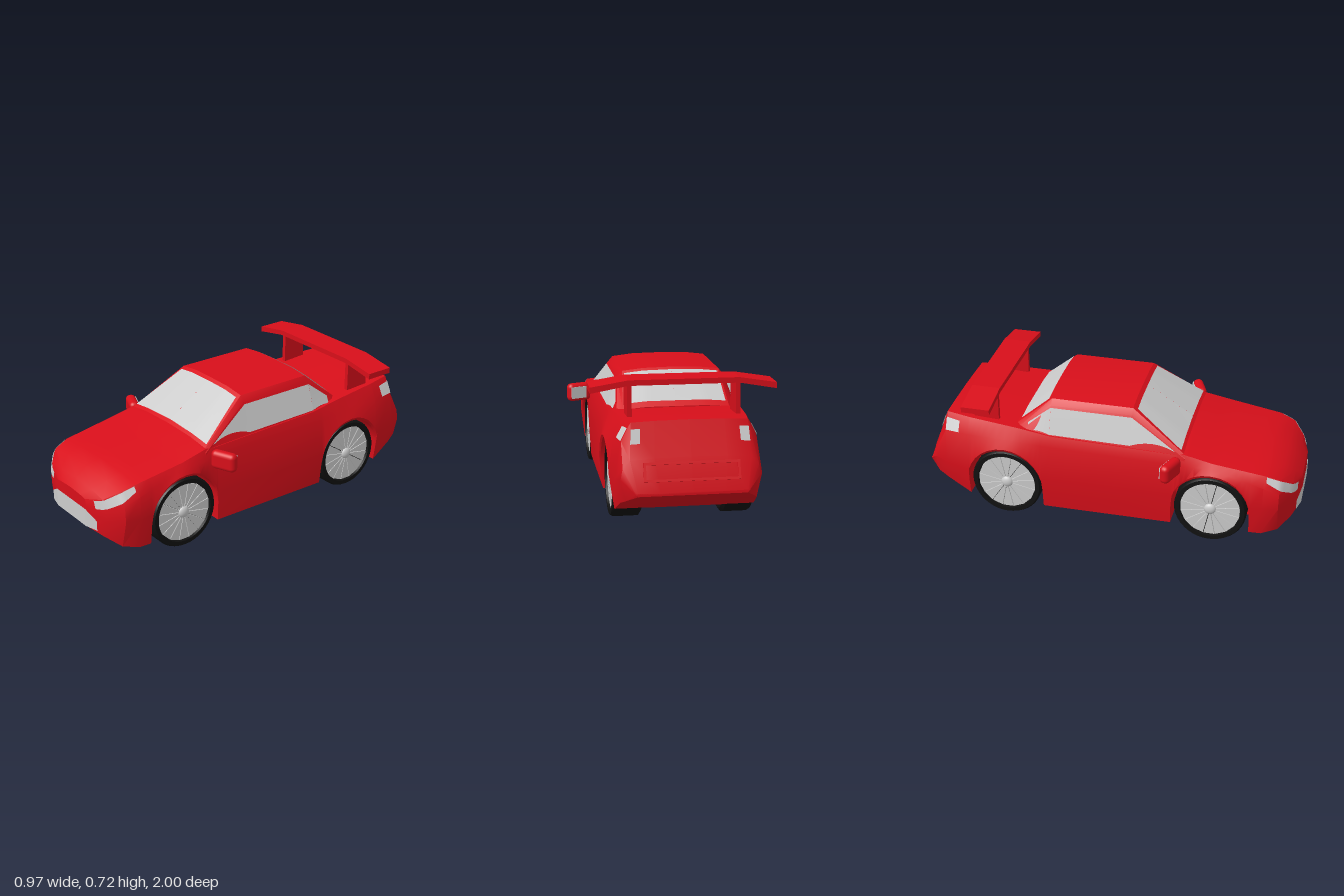
import * as THREE from 'three';
import { toCreasedNormals } from 'three/addons/utils/BufferGeometryUtils.js';
import { RoundedBoxGeometry } from 'three/addons/geometries/RoundedBoxGeometry.js';

const paint = new THREE.MeshStandardMaterial({ color: 0xd80f1a });
const rubber = new THREE.MeshStandardMaterial({ color: 0x111111 });
const grey = new THREE.MeshStandardMaterial({ color: 0xcccccc });
const greyThin = new THREE.MeshStandardMaterial({ color: 0xcccccc, side: THREE.DoubleSide });

const WHEEL_Z = 0.55, WHEEL_R = 0.19, ARCH_R = 0.205;
const lerp = THREE.MathUtils.lerp;

function add(parent, name, geometry, material, pos = [0, 0, 0]) {
  const mesh = new THREE.Mesh(geometry, material);
  mesh.name = name;
  mesh.position.set(...pos);
  parent.add(mesh);
  return mesh;
}

function geometryFrom(positions, index) {
  const g = new THREE.BufferGeometry();
  g.setAttribute('position', new THREE.Float32BufferAttribute(positions, 3));
  g.setIndex(index);
  return g;
}

// Closed skin over half-sections { z, pts: [[x, y], ...] }, mirrored in x, ordered front to back
function loft(sections, crease) {
  const pos = [], idx = [];
  const rings = sections.map(({ z, pts }) =>
    [...pts, ...pts.slice(1, -1).reverse().map(([x, y]) => [-x, y])].map(([x, y]) => [x, y, z]));
  const n = rings[0].length;
  rings.forEach(r => r.forEach(p => pos.push(...p)));
  for (let i = 0; i < rings.length - 1; i++) for (let j = 0; j < n; j++) {
    const a = i * n + j, b = i * n + (j + 1) % n;
    idx.push(a, b, a + n, b, b + n, a + n);
  }
  [0, rings.length - 1].forEach((i, back) => {
    const c = pos.length / 3, ring = rings[i];
    pos.push(0, ring.reduce((s, p) => s + p[1], 0) / n, ring[0][2]);
    for (let j = 0; j < n; j++) {
      const a = i * n + j, b = i * n + (j + 1) % n;
      back ? idx.push(c, a, b) : idx.push(c, b, a);
    }
  });
  return toCreasedNormals(geometryFrom(pos, idx), crease);
}

// Point on a loft at depth z and section parameter t
function sample(sections, z, t) {
  let i = 0;
  while (i < sections.length - 2 && sections[i + 1].z > z) i++;
  const A = sections[i], B = sections[i + 1], f = (z - A.z) / (B.z - A.z);
  const j = Math.min(Math.floor(t), A.pts.length - 2), g = t - j;
  const at = k => lerp(lerp(A.pts[j][k], A.pts[j + 1][k], g), lerp(B.pts[j][k], B.pts[j + 1][k], g), f);
  return [at(0), at(1), z];
}

// Panel lying just above a loft: front edge z0 (t a..b) to back edge z1 (t c..d)
function panel(sections, side, [z0, a, b, z1, c, d], lift = 0.004) {
  const N = 12, pos = [], idx = [];
  for (let i = 0; i <= N; i++) for (let j = 0; j <= N; j++) {
    const u = i / N, v = j / N;
    const p = sample(sections, lerp(z0, z1, u), lerp(lerp(a, b, v), lerp(c, d, v), u));
    pos.push(p[0] * side, p[1], p[2]);
    if (i < N && j < N) {
      const k = i * (N + 1) + j, l = k + N + 1;
      idx.push(...(side > 0 ? [k, k + 1, l, k + 1, l + 1, l] : [k, l, k + 1, k + 1, l, l + 1]));
    }
  }
  const g = geometryFrom(pos, idx);
  g.computeVertexNormals();
  const P = g.attributes.position, Q = g.attributes.normal;
  for (let i = 0; i < P.count; i++)
    P.setXYZ(i, P.getX(i) + Q.getX(i) * lift, P.getY(i) + Q.getY(i) * lift, P.getZ(i) + Q.getZ(i) * lift);
  return g;
}

// Body rows: z, top y, shoulder x y, belt x y, widest x y, sill x y
const ROWS = [
  [0.995, 0.33, 0.13, 0.32, 0.14, 0.28, 0.14, 0.24, 0.14, 0.17],
  [0.96, 0.375, 0.24, 0.35, 0.26, 0.30, 0.26, 0.24, 0.24, 0.145],
  [0.90, 0.42, 0.305, 0.40, 0.345, 0.335, 0.35, 0.25, 0.31, 0.10],
  [0.82, 0.445, 0.325, 0.425, 0.36, 0.37, 0.365, 0.25, 0.345, 0.085],
  [0.55, 0.49, 0.335, 0.465, 0.352, 0.44, 0.37, 0.25, 0.35, 0.08],
  [0.40, 0.52, 0.33, 0.495, 0.352, 0.44, 0.36, 0.25, 0.35, 0.08],
  [0.36, 0.49, 0.335, 0.49, 0.352, 0.44, 0.36, 0.25, 0.35, 0.08],
  [-0.30, 0.50, 0.335, 0.505, 0.355, 0.45, 0.375, 0.25, 0.355, 0.08],
  [-0.48, 0.53, 0.325, 0.525, 0.355, 0.46, 0.375, 0.25, 0.355, 0.08],
  [-0.75, 0.55, 0.30, 0.54, 0.345, 0.46, 0.37, 0.26, 0.345, 0.09],
  [-0.88, 0.555, 0.28, 0.548, 0.325, 0.46, 0.355, 0.28, 0.33, 0.16],
  [-0.94, 0.39, 0.29, 0.38, 0.325, 0.34, 0.335, 0.29, 0.31, 0.185],
  [-1.0, 0.235, 0.26, 0.233, 0.27, 0.23, 0.27, 0.227, 0.26, 0.22],
];

// Sections with the sill lifted over each wheel, leaving open wheel wells
function bodySections() {
  const zs = ROWS.map(r => r[0]);
  for (const c of [WHEEL_Z, -WHEEL_Z]) {
    zs.push(c + ARCH_R + 0.001, c - ARCH_R - 0.001);
    for (let k = 0; k <= 14; k++) zs.push(c + ARCH_R * Math.cos(Math.PI * k / 14));
  }
  const unique = zs.sort((a, b) => b - a).filter((z, i) => i === 0 || zs[i - 1] - z > 1e-5);
  return unique.map(z => {
    let i = 0;
    while (i < ROWS.length - 2 && ROWS[i + 1][0] > z) i++;
    const f = (z - ROWS[i][0]) / (ROWS[i + 1][0] - ROWS[i][0]);
    const [, yt, sx, sy, bx, by, wx, wy, lx, ly] = ROWS[i].map((v, k) => lerp(v, ROWS[i + 1][k], f));
    const d = Math.abs(Math.abs(z) - WHEEL_Z), inArch = d < ARCH_R + 0.0005;
    const sill = inArch ? WHEEL_R + Math.sqrt(Math.max(0, ARCH_R ** 2 - d * d)) : ly;
    const inner = Math.min(0.19, lx * 0.8);
    return { z, pts: [[0, yt], [sx * 0.6, lerp(yt, sy, 0.35)], [sx, sy], [bx, by],
      [wx, Math.max(wy, sill + 0.015)], [inArch ? lerp(lx, wx, 0.6) : lx, sill],
      [inner, sill], [inner, ly], [0, ly]] };
  });
}

const CABIN = [
  { z: 0.41, pts: [[0, 0.515], [0.2, 0.505], [0.325, 0.49], [0.34, 0.475], [0.345, 0.45], [0, 0.45]] },
  { z: 0.12, pts: [[0, 0.70], [0.14, 0.698], [0.25, 0.685], [0.275, 0.655], [0.345, 0.45], [0, 0.45]] },
  { z: -0.31, pts: [[0, 0.70], [0.14, 0.697], [0.25, 0.685], [0.275, 0.655], [0.345, 0.45], [0, 0.45]] },
  { z: -0.50, pts: [[0, 0.535], [0.15, 0.535], [0.27, 0.525], [0.30, 0.50], [0.335, 0.45], [0, 0.45]] },
];

function makeWheel() {
  const wheel = new THREE.Group();
  const profile = [[0, -0.075], [0.172, -0.075], [0.19, -0.062], [0.19, 0.062], [0.182, 0.075],
    [0.16, 0.075], [0.157, 0.05], [0, 0.05]].map(p => new THREE.Vector2(...p));
  add(wheel, 'tyre', toCreasedNormals(new THREE.LatheGeometry(profile, 40), 0.6), rubber);
  // Wedge-shaped spokes with narrow gaps
  const count = 16, h = Math.PI / count;
  const wedge = new THREE.Shape([[0.022, -h * 0.6], [0.157, -h * 0.95], [0.157, h * 0.95], [0.022, h * 0.6]]
    .map(([r, a]) => new THREE.Vector2(r * Math.cos(a), r * Math.sin(a))));
  const spoke = new THREE.ExtrudeGeometry(wedge, { depth: 0.016, bevelEnabled: false }).rotateX(-Math.PI / 2);
  for (let i = 0; i < count; i++)
    add(wheel, 'spoke', spoke, grey, [0, 0.048, 0]).rotation.y = i * 2 * h;
  add(wheel, 'hub', new THREE.SphereGeometry(0.032, 20, 12), grey, [0, 0.06, 0]).scale.y = 0.6;
  return wheel;
}

export function createModel() {
  const car = new THREE.Group();
  const body = bodySections();
  add(car, 'body', loft(body, 0.6), paint);
  add(car, 'cabin', loft(CABIN, 0.5), paint);

  // Glass and lamps on each side
  for (const s of [1, -1]) {
    const glass = (name, sections, range) => add(car, name, panel(sections, s, range), greyThin);
    glass('windscreen', CABIN, [0.385, 0, 1.97, 0.14, 0, 1.85]);
    glass('rearWindow', CABIN, [-0.325, 0, 1.9, -0.475, 0, 1.9]);
    glass('sideWindow', CABIN, [0.355, 3.03, 3.08, 0.12, 3.05, 3.73]);
    glass('sideWindow', CABIN, [0.12, 3.05, 3.73, -0.31, 3.05, 3.71]);
    glass('sideWindow', CABIN, [-0.31, 3.05, 3.71, -0.43, 3.05, 3.4]);
    glass('headlight', body, [0.977, 2.1, 3, 0.83, 2.05, 2.5]);
    glass('tailLight', body, [-0.805, 2.35, 3, -0.88, 2.3, 3]);
    glass('tailLightCorner', body, [-0.891, 1.6, 2, -0.915, 1.6, 2]);

    // Door mirror
    const mirror = new THREE.Group();
    mirror.name = 'doorMirror';
    mirror.position.set(s * 0.415, 0.447, 0.35);
    mirror.rotation.y = s * 0.38;
    add(mirror, 'mirrorShell', new RoundedBoxGeometry(0.14, 0.1, 0.055, 3, 0.025), paint);
    add(mirror, 'mirrorGlass', new THREE.BoxGeometry(0.09, 0.065, 0.006), grey, [s * 0.012, 0, -0.027]);
    car.add(mirror);

    // Wing support
    add(car, 'wingSupport', new THREE.BoxGeometry(0.022, 0.17, 0.135), paint, [s * 0.265, 0.615, -0.665]);

    for (const [name, z] of [['frontWheel', WHEEL_Z], ['rearWheel', -WHEEL_Z]]) {
      const wheel = makeWheel();
      wheel.name = name;
      wheel.position.set(s * 0.275, WHEEL_R, z);
      wheel.rotation.z = -s * Math.PI / 2;
      car.add(wheel);
    }
  }

  // Grille wrapped round the nose: x, top y, z
  const grille = [[-0.21, 0.225, 0.981], [-0.135, 0.268, 1], [0.135, 0.268, 1], [0.21, 0.225, 0.981]];
  const gpos = grille.flatMap(([x, y, z]) => [x, 0.172, z, x, y, z]);
  const gidx = [0, 2, 4].flatMap(k => [k, k + 2, k + 1, k + 1, k + 2, k + 3]);
  const grilleGeometry = geometryFrom(gpos, gidx).toNonIndexed();
  grilleGeometry.computeVertexNormals();
  add(car, 'grille', grilleGeometry, greyThin);

  // Rear wing with drooping tips
  const half = [[0.27, 0.72], [0.455, 0.69], [0.455, 0.66], [0.27, 0.693]];
  const outline = [...half, ...half.map(([x, y]) => [-x, y]).reverse()].map(p => new THREE.Vector2(...p));
  add(car, 'rearWing', new THREE.ExtrudeGeometry(new THREE.Shape(outline), { depth: 0.15, bevelEnabled: false }),
    paint, [0, 0, -0.735]);

  // Raised frame on the tail
  const frame = new THREE.Group();
  frame.name = 'tailFrame';
  frame.position.set(0, 0.325, -0.963);
  frame.rotation.x = 0.36;
  for (const s of [1, -1]) {
    add(frame, 'frameRail', new THREE.BoxGeometry(0.46, 0.012, 0.02), paint, [0, s * 0.04, 0]);
    add(frame, 'frameEnd', new THREE.BoxGeometry(0.012, 0.08, 0.02), paint, [s * 0.224, 0, 0]);
  }
  car.add(frame);
  return car;
}
